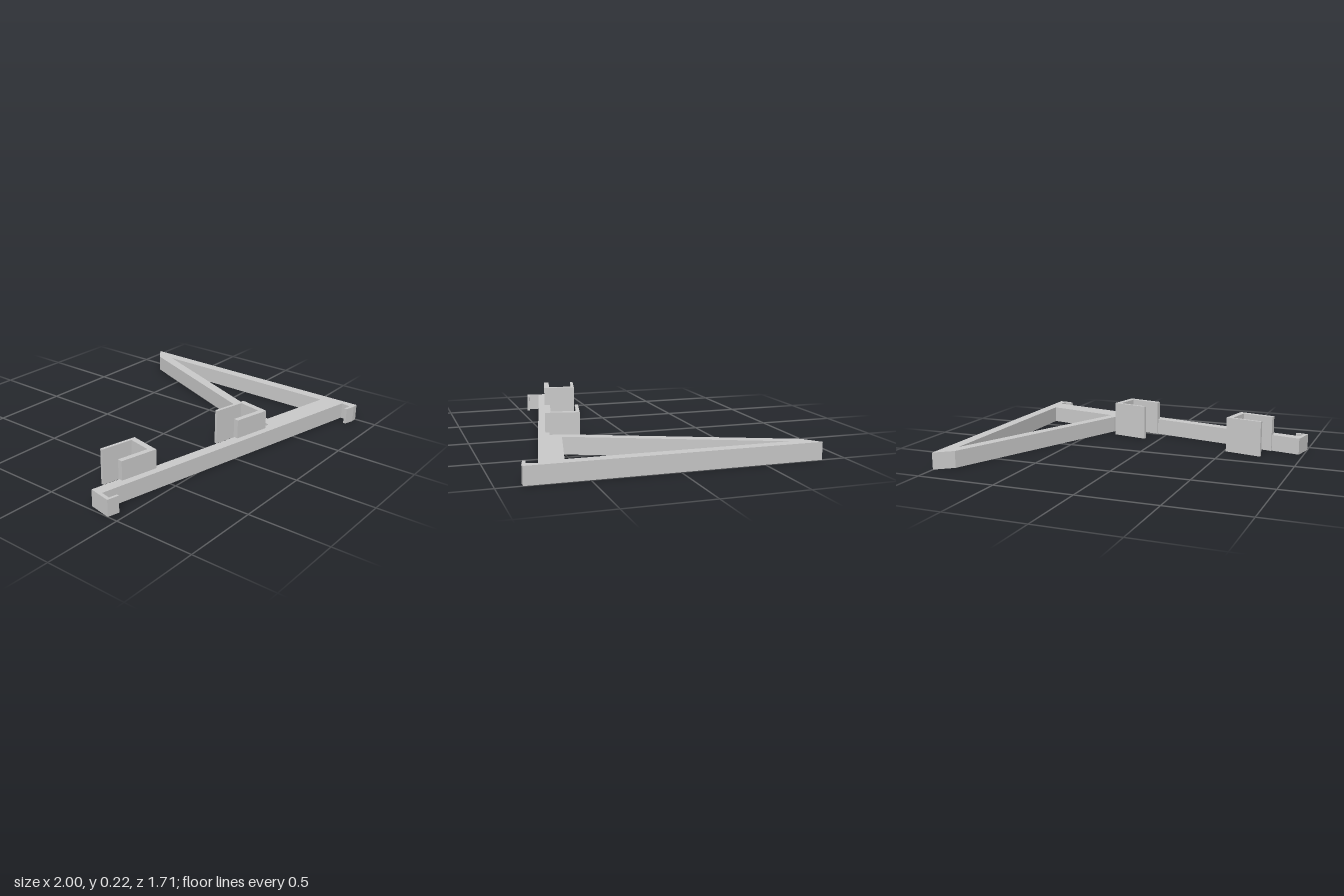
import * as THREE from 'three';

const toVectors = (pts) => pts.map(([x, z]) => new THREE.Vector2(x, z));

// Extrudes a plan outline given as [x, z] corners from the ground up to a height
function slab(name, outline, height, material, hole) {
  const shape = new THREE.Shape(toVectors(outline));
  if (hole) shape.holes.push(new THREE.Path(toVectors(hole)));
  const geometry = new THREE.ExtrudeGeometry(shape, { depth: height, bevelEnabled: false });
  geometry.rotateX(Math.PI / 2).translate(0, height, 0);
  const mesh = new THREE.Mesh(geometry, material);
  mesh.name = name;
  return mesh;
}

export function createModel() {
  const model = new THREE.Group();
  model.name = 'bracket';
  const grey = new THREE.MeshStandardMaterial({ color: 0xc8c8c8 });
  grey.name = 'light grey';

  // Slanted bar, triangular brace and the two end hooks in one outline
  const frame = [
    [-0.97, 0.29], [0.358, 0.572], [0.382, 0.465], [0.895, -0.772], [1, -0.855],
    [1, 0.855], [0.96, 0.855], [0.894, 0.838], [0.897, 0.82], [0.948, 0.831], [0.962, 0.768],
    [-0.962, 0.361], [-0.975, 0.423], [-0.922, 0.434], [-0.926, 0.451], [-1, 0.434],
  ];
  const opening = [[0.43, 0.516], [0.93, -0.68], [0.93, 0.622]];
  model.add(slab('frame', frame, 0.105, grey, opening));

  // Two tall U-shaped clips, each with a low nub on the inside of its web
  const clip = [
    [-0.75, 0.152], [-0.513, 0.202], [-0.556, 0.403], [-0.791, 0.352], [-0.785, 0.32],
    [-0.586, 0.363], [-0.554, 0.214], [-0.754, 0.171],
  ];
  const nub = [[-0.593, 0.256], [-0.56, 0.264], [-0.573, 0.316], [-0.603, 0.304]];
  [['outer', 0, 0], ['inner', 0.853, 0.182]].forEach(([side, x, z]) => {
    const group = new THREE.Group();
    group.name = side + 'Clip';
    group.add(slab('clipWall', clip, 0.225, grey), slab('clipNub', nub, 0.105, grey));
    group.position.set(x, 0, z);
    model.add(group);
  });
  return model;
}
